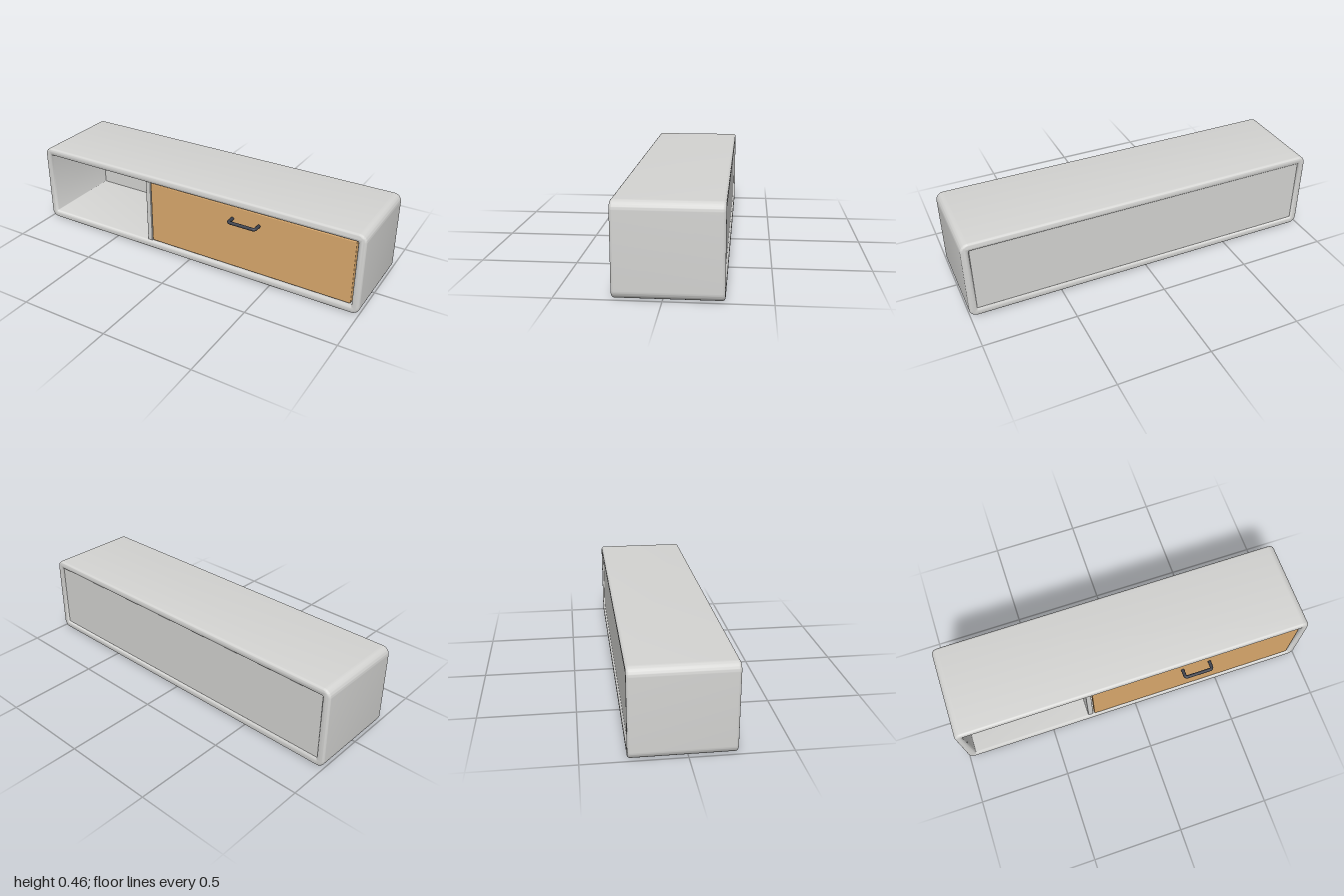
import * as THREE from 'three';
import { toCreasedNormals } from 'three/addons/utils/BufferGeometryUtils.js';
import { RoundedBoxGeometry } from 'three/addons/geometries/RoundedBoxGeometry.js';

const material = (name, color) => {
  const m = new THREE.MeshStandardMaterial({ color });
  m.name = name;
  return m;
};

// Traces a rounded rectangle onto a shape or path
function roundedRect(path, x0, y0, x1, y1, r) {
  path.moveTo(x0 + r, y0);
  path.lineTo(x1 - r, y0);
  path.absarc(x1 - r, y0 + r, r, -Math.PI / 2, 0);
  path.lineTo(x1, y1 - r);
  path.absarc(x1 - r, y1 - r, r, 0, Math.PI / 2);
  path.lineTo(x0 + r, y1);
  path.absarc(x0 + r, y1 - r, r, Math.PI / 2, Math.PI);
  path.lineTo(x0, y0 + r);
  path.absarc(x0 + r, y0 + r, r, Math.PI, Math.PI * 1.5);
  return path;
}

export function createModel() {
  const group = new THREE.Group();
  group.name = 'wallCabinet';
  const grey = material('light grey', 0xd4d4d2);
  const wood = material('warm wood', 0xd9a86c);
  const metal = material('dark metal', 0x3c404b);

  const add = (name, geometry, mat) => {
    const mesh = new THREE.Mesh(geometry, mat);
    mesh.name = name;
    group.add(mesh);
    return mesh;
  };
  // Box given by its extents
  const box = (name, [x0, x1], [y0, y1], [z0, z1], r, mat) =>
    add(name, new RoundedBoxGeometry(x1 - x0, y1 - y0, z1 - z0, 3, r), mat)
      .position.set((x0 + x1) / 2, (y0 + y1) / 2, (z0 + z1) / 2);

  // Open sleeve with rounded corners and softened rims
  const back = -0.282, front = 0.234, height = 0.458, bevel = 0.015;
  const outline = roundedRect(new THREE.Shape(), -1, 0, 1, height, 0.042);
  outline.holes.push(roundedRect(new THREE.Path(), -0.957, 0.044, 0.957, 0.414, 0.004));
  const shell = new THREE.ExtrudeGeometry(outline, {
    depth: front - back - 2 * bevel,
    bevelThickness: bevel, bevelSize: bevel, bevelOffset: -bevel,
    bevelSegments: 5, curveSegments: 8,
  });
  shell.translate(0, 0, back + bevel);
  add('shell', toCreasedNormals(shell, 0.6), grey);

  // Back panel and divider between the open bay and the drawer
  box('backPanel', [-0.958, 0.958], [0.043, 0.415], [-0.272, -0.245], 0.002, grey);
  box('divider', [-0.284, -0.255], [0.043, 0.415], [-0.25, 0.222], 0.003, grey);

  // Drawer front with a narrow gap all round
  box('drawerFront', [-0.248, 0.95], [0.051, 0.412], [0.195, 0.226], 0.005, wood);

  // Bent bar handle
  const y = 0.342, z0 = 0.215, z1 = 0.273, x0 = 0.27, x1 = 0.426, bend = 0.014;
  const v = (x, z) => new THREE.Vector3(x, y, z);
  const path = new THREE.CurvePath();
  path.add(new THREE.LineCurve3(v(x0, z0), v(x0, z1 - bend)));
  path.add(new THREE.QuadraticBezierCurve3(v(x0, z1 - bend), v(x0, z1), v(x0 + bend, z1)));
  path.add(new THREE.LineCurve3(v(x0 + bend, z1), v(x1 - bend, z1)));
  path.add(new THREE.QuadraticBezierCurve3(v(x1 - bend, z1), v(x1, z1), v(x1, z1 - bend)));
  path.add(new THREE.LineCurve3(v(x1, z1 - bend), v(x1, z0)));
  add('handle', new THREE.TubeGeometry(path, 72, 0.009, 14), metal);

  return group;
}
